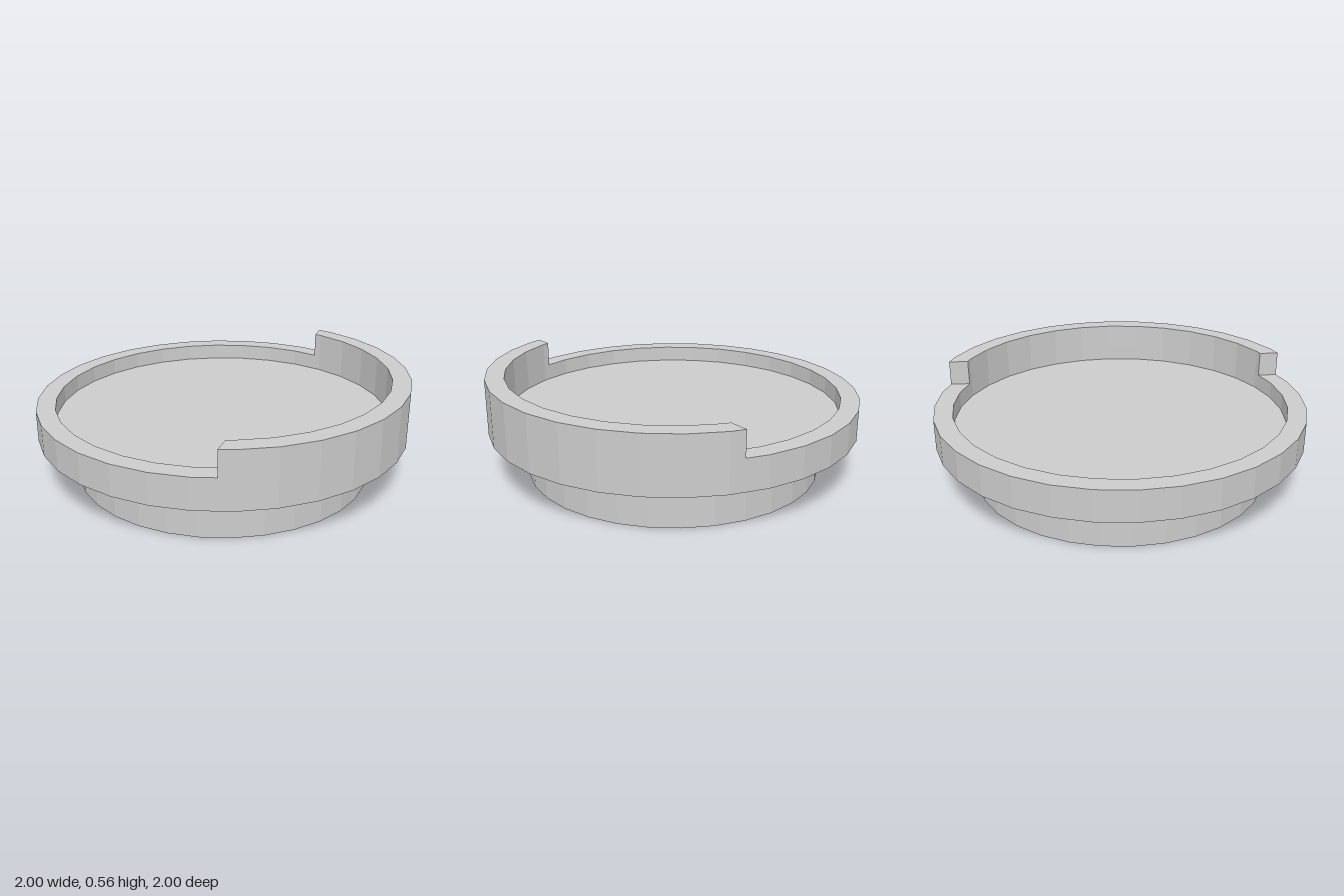
import * as THREE from 'three';

const SIDES = 32;
const STEP = (Math.PI * 2) / SIDES;
const CUT_X = 0.31; // plane where the raised lip ends

const material = new THREE.MeshStandardMaterial({ color: 0xcccccc, flatShading: true });

function addPart(group, name, geometry) {
  const mesh = new THREE.Mesh(geometry, material);
  mesh.name = name;
  group.add(mesh);
  return mesh;
}

// Part of a 32-sided polygon lying beyond the cut plane, from -y to +y
function cutArc(radius) {
  const corner = (i) => new THREE.Vector2(Math.cos(i * STEP), Math.sin(i * STEP)).multiplyScalar(radius);
  let last = 0;
  while (corner(last + 1).x > CUT_X) last++;
  const a = corner(last), b = corner(last + 1);
  const end = a.clone().lerp(b, (a.x - CUT_X) / (a.x - b.x));
  const points = [new THREE.Vector2(end.x, -end.y)];
  for (let i = -last; i <= last; i++) points.push(corner(i));
  points.push(end);
  return points;
}

export function createModel() {
  const group = new THREE.Group();
  group.name = 'steppedTray';

  // Plain disc under the tray, separated by a narrow gap
  const base = addPart(group, 'baseDisc', new THREE.CylinderGeometry(0.8, 0.8, 0.235, SIDES));
  base.position.y = 0.1175;

  // Shallow tray: solid floor with a low rim
  const profile = [[0, 0.255], [1, 0.255], [1, 0.42], [0.9, 0.42], [0.9, 0.333], [0, 0.333]]
    .map(([x, y]) => new THREE.Vector2(x, y));
  addPart(group, 'tray', new THREE.LatheGeometry(profile, SIDES));

  // Raised lip on the left part of the rim
  const shape = new THREE.Shape([...cutArc(1), ...cutArc(0.9).reverse()]);
  const lip = new THREE.ExtrudeGeometry(shape, { depth: 0.135, bevelEnabled: false });
  lip.rotateX(-Math.PI / 2);
  addPart(group, 'raisedLip', lip).position.y = 0.42;

  return group;
}
